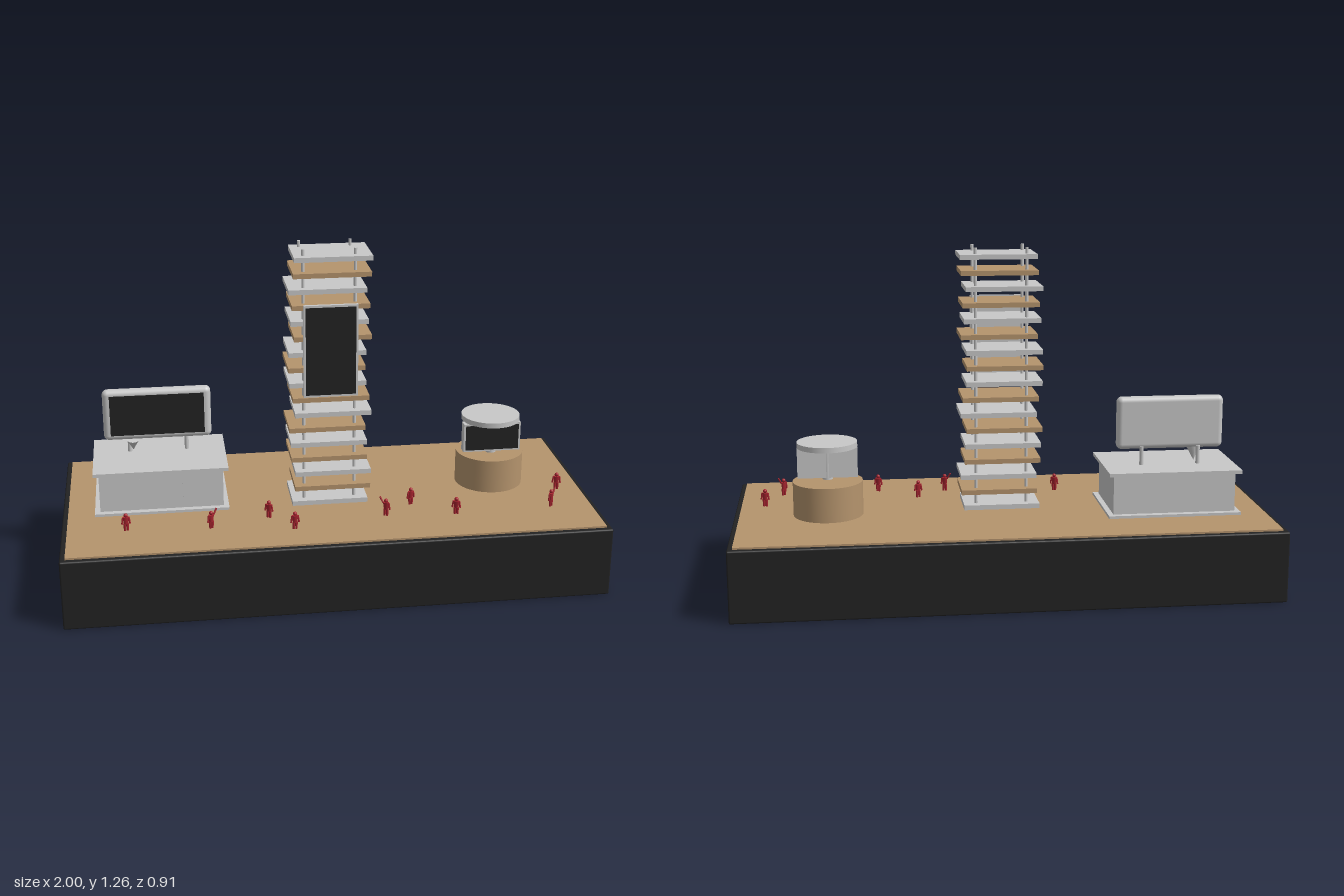
import * as THREE from 'three';
import { RoundedBoxGeometry } from 'three/addons/geometries/RoundedBoxGeometry.js';

const material = (name, color) => {
  const m = new THREE.MeshStandardMaterial({ color });
  m.name = name;
  return m;
};

export function createModel() {
  const black = material('matte black', 0x222222);
  const wood = material('light wood', 0xb5946d);
  const grey = material('light grey', 0xc8c8c8);
  const red = material('red', 0xa8242f);

  const model = new THREE.Group();
  model.name = 'exhibitionStand';
  const group = (name, x = 0, y = 0, z = 0) => {
    const g = new THREE.Group();
    g.name = name;
    g.position.set(x, y, z);
    model.add(g);
    return g;
  };
  const add = (parent, name, geometry, mat, x = 0, y = 0, z = 0) => {
    const mesh = new THREE.Mesh(geometry, mat);
    mesh.name = name;
    mesh.position.set(x, y, z);
    parent.add(mesh);
    return mesh;
  };
  const box = (parent, name, mat, w, h, d, x, y, z) =>
    add(parent, name, new THREE.BoxGeometry(w, h, d), mat, x, y, z);
  const rod = (parent, name, mat, r, h, x, y, z, sides = 12) =>
    add(parent, name, new THREE.CylinderGeometry(r, r, h, sides), mat, x, y, z);

  // Plinth and inset floor
  const FLOOR = 0.272;
  const plinth = group('plinth');
  add(plinth, 'plinthBlock', new RoundedBoxGeometry(2, 0.265, 0.912, 2, 0.006), black, 0, 0.1325, 0);
  box(plinth, 'floor', wood, 1.96, 0.01, 0.872, 0, FLOOR - 0.005, 0);

  // Tower of alternating shelves, each nudged sideways, on four posts
  const tower = group('tower', 0, 0, 0.02);
  const shifts = [0, 0.01, 0.012, -0.003, -0.004, -0.01, 0.012, 0.004, -0.009, -0.012,
    -0.01, 0.01, -0.002, 0.003, -0.009, 0.008, 0.012];
  shifts.forEach((dx, i) => {
    box(tower, 'shelf', i % 2 ? wood : grey, 0.285, 0.018, 0.2, dx, 0.287 + i * 0.0588, 0);
  });
  for (const x of [-0.095, 0.095]) {
    for (const z of [-0.065, 0.066]) rod(tower, 'post', grey, 0.006, 0.988, x, FLOOR + 0.494, z);
  }
  // Tall screen on the tower front
  box(tower, 'towerScreenFrame', grey, 0.2, 0.348, 0.013, 0, 0.89, 0.11);
  box(tower, 'towerScreen', black, 0.184, 0.332, 0.004, 0, 0.89, 0.1165);

  // Counter with base and top plates
  const counter = group('counter', -0.63, 0, -0.064);
  box(counter, 'counterBase', grey, 0.5, 0.01, 0.345, 0, 0.277, 0);
  box(counter, 'counterBody', grey, 0.46, 0.15, 0.298, 0, 0.355, 0);
  box(counter, 'counterTop', grey, 0.5, 0.013, 0.345, 0, 0.4365, 0);
  // Raised front panels leave narrow seams between them
  for (const x of [-0.154, 0, 0.154]) {
    box(counter, 'frontPanel', grey, 0.15, 0.142, 0.004, x, 0.354, 0.15);
  }

  // Wide rounded display on two struts
  const display = group('display', -0.633, 0, -0.088);
  add(display, 'displayCase', new RoundedBoxGeometry(0.406, 0.2, 0.044, 4, 0.02), grey, 0, 0.602, 0);
  box(display, 'displayScreen', black, 0.354, 0.158, 0.006, 0, 0.602, 0.0205);
  for (const x of [-0.108, 0.108]) rod(display, 'strut', grey, 0.008, 0.075, x, 0.475, -0.018);
  // Small inverted cone beneath the display
  const cone = add(display, 'bracket', new THREE.ConeGeometry(0.025, 0.052, 12), grey, -0.095, 0.478, 0);
  cone.rotation.set(Math.PI + 0.3, 0, 0);

  // Round kiosk with a screen block and disc canopy
  const kiosk = group('kiosk', 0.65, 0, -0.043);
  rod(kiosk, 'kioskDrum', wood, 0.13, 0.13, 0, 0.336, 0, 48);
  box(kiosk, 'kioskBlock', grey, 0.224, 0.114, 0.038, 0, 0.466, 0.022);
  box(kiosk, 'kioskScreen', black, 0.208, 0.1, 0.004, 0, 0.466, 0.0415);
  rod(kiosk, 'kioskStem', grey, 0.02, 0.135, 0, 0.465, 0.022, 16);
  rod(kiosk, 'canopy', grey, 0.112, 0.02, 0, 0.54, 0, 48);

  // Visitors: x, z, heading, one arm raised
  const head = new THREE.SphereGeometry(0.0075, 12, 8);
  const torso = new THREE.CylinderGeometry(0.012, 0.008, 0.028, 10);
  const leg = new THREE.CylinderGeometry(0.0055, 0.004, 0.027, 8);
  const arm = new THREE.CylinderGeometry(0.0033, 0.0033, 0.026, 8);
  const visitors = [
    [-0.765, 0.237, 0.2, 0], [-0.457, 0.258, 0.6, 1], [-0.24, 0.195, -0.5, 0],
    [-0.155, 0.305, 0.1, 0], [0.193, 0.237, 2.6, 1], [0.303, 0.15, 0.4, 0],
    [0.455, 0.258, -0.4, 0], [0.825, 0.237, 0.7, 1], [0.89, 0.085, -0.2, 0],
  ];
  for (const [x, z, heading, raised] of visitors) {
    const person = group('visitor', x, FLOOR, z);
    person.rotation.y = heading;
    add(person, 'head', head, red, 0, 0.06, 0);
    add(person, 'torso', torso, red, 0, 0.039, 0).scale.z = 0.65;
    for (const side of [-1, 1]) {
      add(person, 'leg', leg, red, side * 0.005, 0.0135, 0);
      const up = raised && side > 0;
      const limb = add(person, 'arm', arm, red, side * (up ? 0.018 : 0.013), up ? 0.061 : 0.039, 0);
      limb.rotation.z = up ? -0.55 : side * 0.15;
    }
  }
  return model;
}
